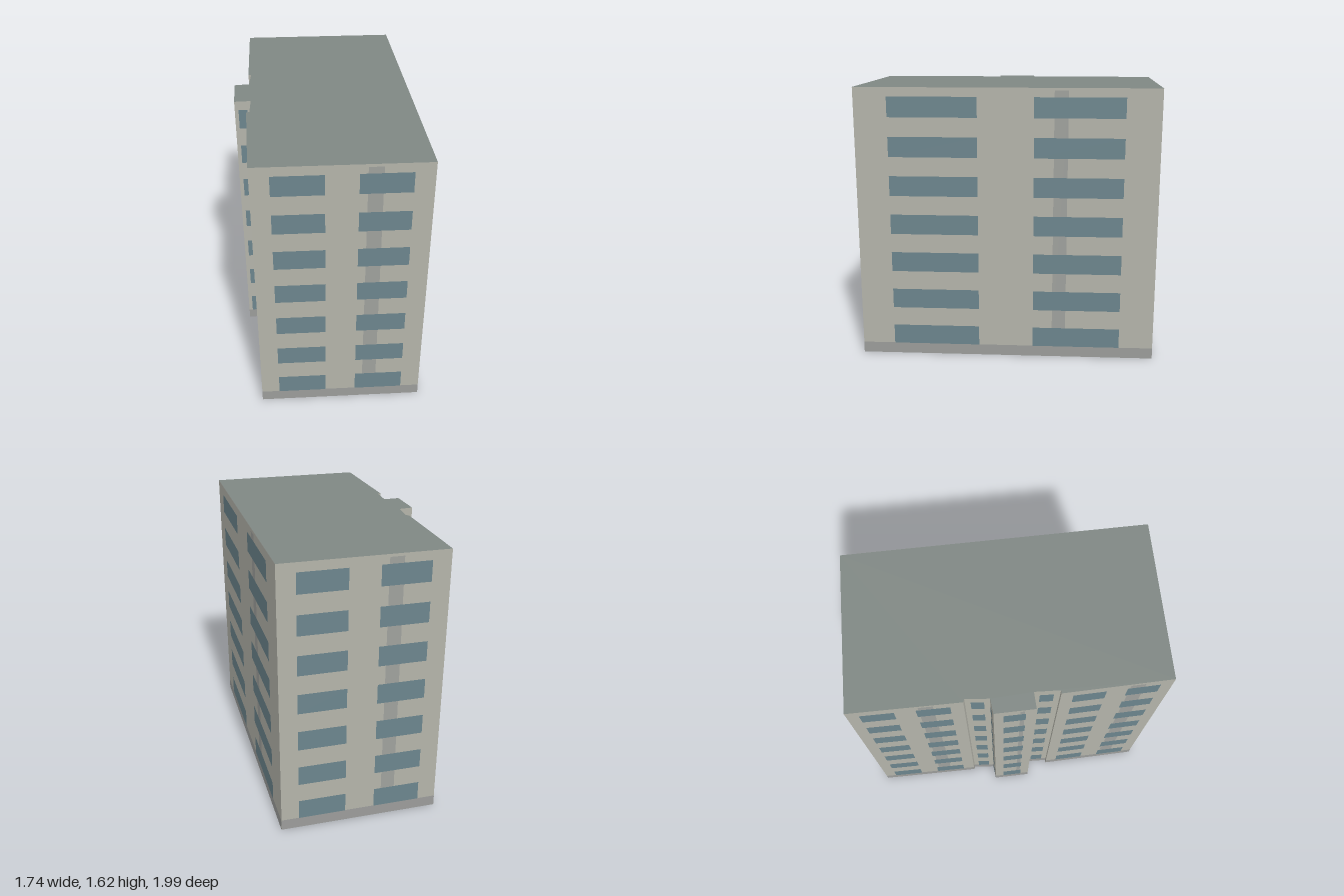
import * as THREE from 'three';

const HEIGHT = 1.615, FLOORS = 7, PITCH = 0.23, WINDOW_H = 0.118, BASE_H = 0.065;

// Footprint corners as [x, z], walked so that every wall reads left to right from outside
const FOOTPRINT = [
  [-0.87, 0.46], [-0.1, 0.995], [0.87, -0.465], [0.105, -0.995],
  [-0.245, -0.48], [-0.235, -0.465], [-0.32, -0.36], [-0.395, -0.4],
  [-0.52, -0.21], [-0.44, -0.16], [-0.525, -0.045], [-0.54, -0.055],
];

const paint = (color) => new THREE.MeshStandardMaterial({ color, side: THREE.DoubleSide });

export function createModel() {
  const building = new THREE.Group();
  building.name = 'apartmentBlock';
  const wallMat = paint(0xb4b4aa), stripMat = paint(0x9fa19d), baseMat = paint(0x9b9c9a);
  const glassMat = paint(0x6c858d), roofMat = paint(0x7f8783);
  // Facade details show from outside only
  for (const m of [stripMat, baseMat, glassMat]) m.side = THREE.FrontSide;

  // Upright rectangle on a wall, spanning x0..x1 and y0..y1, lifted off the wall
  function panel(parent, name, mat, x0, x1, y0, y1, lift) {
    const mesh = new THREE.Mesh(new THREE.PlaneGeometry(x1 - x0, y1 - y0), mat);
    mesh.position.set((x0 + x1) / 2, (y0 + y1) / 2, lift);
    mesh.name = name;
    parent.add(mesh);
  }

  FOOTPRINT.forEach(([x, z], i) => {
    const [nx, nz] = FOOTPRINT[(i + 1) % FOOTPRINT.length];
    const dx = nx - x, dz = nz - z, len = Math.hypot(dx, dz);
    const facade = new THREE.Group();
    facade.name = 'facade';
    facade.position.set(x, 0, z);
    facade.rotation.y = Math.atan2(-dz, dx);
    building.add(facade);

    panel(facade, 'wall', wallMat, 0, len, 0, HEIGHT, 0);
    panel(facade, 'baseBand', baseMat, 0, len, 0, BASE_H, 0.002);
    if (len < 0.05) return; // tiny jogs stay blank

    // Wide walls carry two window columns, narrow ones a single column
    const wide = len > 0.4;
    const columns = wide ? [[0.11, 0.405], [0.59, 0.885]] : [[0.23, 0.76]];
    if (len > 0.2) {
      const half = wide ? 0.04 : 0.012;
      panel(facade, 'verticalStrip', stripMat, 0.678 * len - half, 0.678 * len + half, BASE_H, 1.6, 0.002);
    }
    for (let f = 0; f < FLOORS; f++) {
      const y = BASE_H + f * PITCH;
      for (const [a, b] of columns) panel(facade, 'window', glassMat, a * len, b * len, y, y + WINDOW_H, 0.004);
    }
  });

  // Flat roof following the footprint; the underside stays open
  const outline = new THREE.Shape(FOOTPRINT.map(([x, z]) => new THREE.Vector2(x, -z)));
  const roof = new THREE.Mesh(new THREE.ShapeGeometry(outline).rotateX(-Math.PI / 2), roofMat);
  roof.position.y = HEIGHT;
  roof.name = 'roof';
  building.add(roof);
  return building;
}
